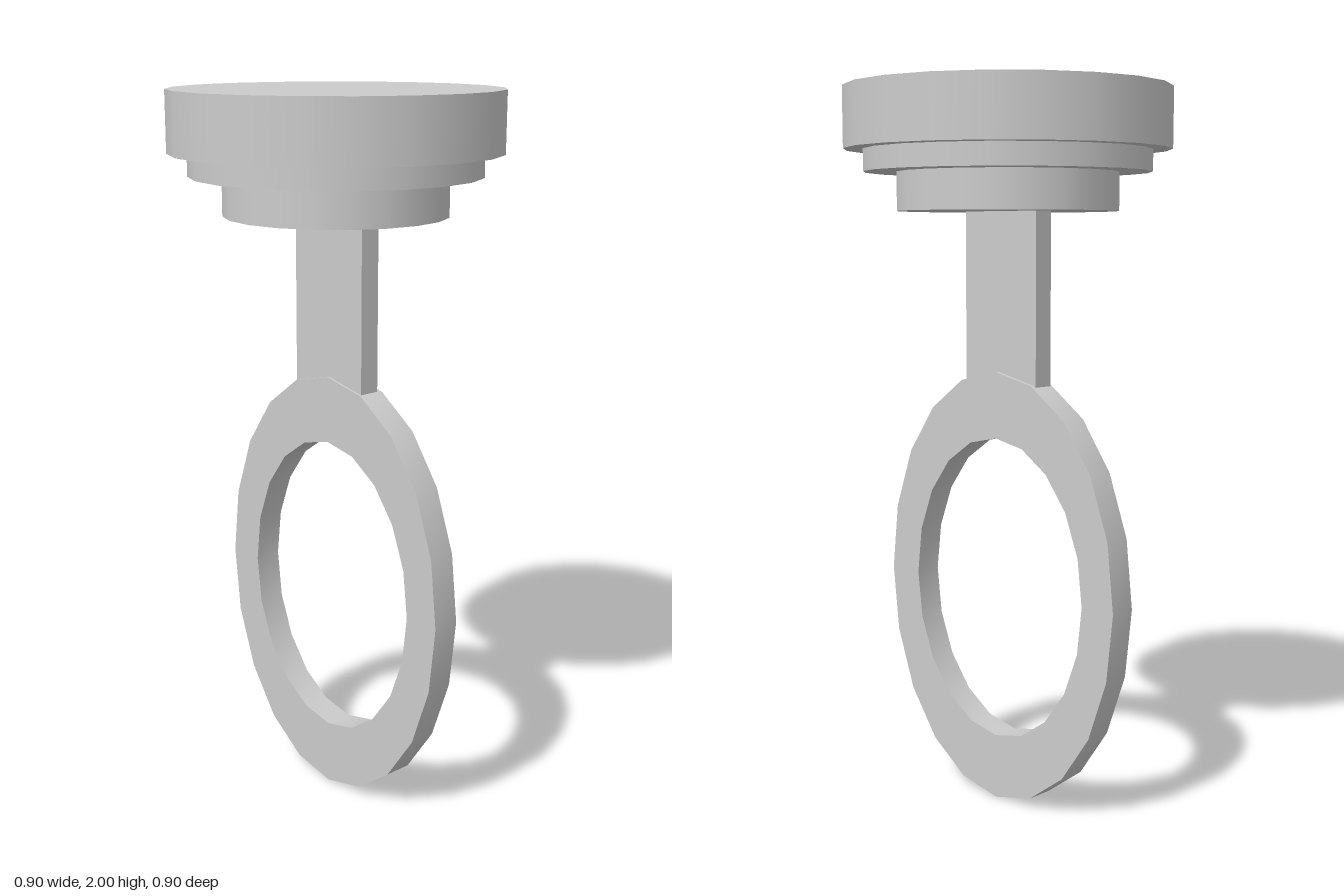
import * as THREE from 'three';
import { toCreasedNormals } from 'three/addons/utils/BufferGeometryUtils.js';

const SIDES = 20;

// Corner points of a 20-sided ellipse
function ellipse(rx, ry) {
  return Array.from({ length: SIDES }, (_, i) => {
    const a = (i / SIDES) * Math.PI * 2;
    return new THREE.Vector2(rx * Math.cos(a), ry * Math.sin(a));
  });
}

export function createModel() {
  const group = new THREE.Group();
  const material = new THREE.MeshStandardMaterial({ color: 0xcccccc });

  function add(name, geometry, x, y, z) {
    const mesh = new THREE.Mesh(geometry, material);
    mesh.name = name;
    mesh.position.set(x, y, z);
    group.add(mesh);
  }

  // Stepped ceiling mount: radius, bottom, top
  const discs = [
    ['mountPlate', 0.448, 1.835, 2],
    ['mountStep', 0.395, 1.775, 1.835],
    ['mountBase', 0.305, 1.67, 1.775],
  ];
  for (const [name, radius, bottom, top] of discs) {
    add(name, new THREE.CylinderGeometry(radius, radius, top - bottom, SIDES), 0, (top + bottom) / 2, 0);
  }

  // Flat strap, ending inside the top of the ring
  const strapTop = 1.67, strapBottom = 1.08;
  add('strap', new THREE.BoxGeometry(0.06, strapTop - strapBottom, 0.264), 0, (strapTop + strapBottom) / 2, 0);

  // Oval grip ring standing in the yz plane
  const depth = 0.08;
  const shape = new THREE.Shape(ellipse(0.426, 0.615));
  shape.holes.push(new THREE.Path(ellipse(0.318, 0.43)));
  const ring = new THREE.ExtrudeGeometry(shape, { depth, bevelEnabled: false });
  ring.translate(0, 0, -depth / 2);
  ring.rotateY(Math.PI / 2);
  add('gripRing', toCreasedNormals(ring, 0.7), 0.003, 0.615, 0.006);

  return group;
}
